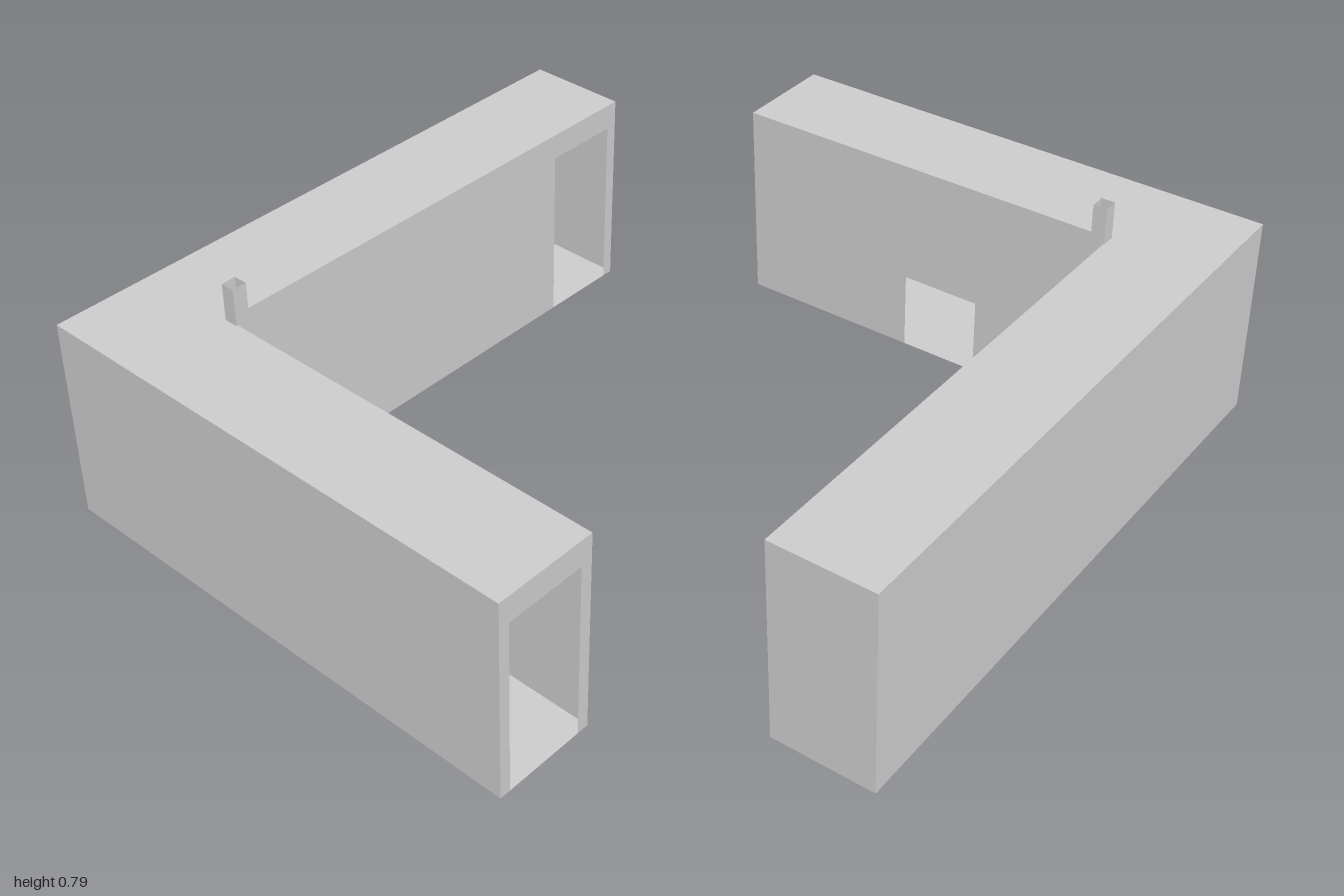
import * as THREE from 'three';

const HEIGHT = 0.665, DOOR_HEIGHT = 0.58;

// L-shaped footprint as [x, z], running so that every wall faces outward
const FOOTPRINT = [
  [-0.827, 1], [0.827, 1], [0.827, 0.667],
  [-0.497, 0.667], [-0.497, -1], [-0.827, -1],
];
const NAMES = ['frontWall', 'leftEndWall', 'courtFrontWall', 'courtSideWall', 'backEndWall', 'rightWall'];

// Door start and end, measured along the wall of the same index
const DOORS = { 1: [0.035, 0.295], 2: [0.61, 0.875], 3: [1.37, 1.63] };

export function createModel() {
  const model = new THREE.Group();
  const material = new THREE.MeshStandardMaterial({
    color: 0xcccccc, side: THREE.DoubleSide, flatShading: true,
  });

  // Thin upright panel from a to b, with an optional doorway down to the ground
  function addWall(parent, name, a, b, height, door) {
    const dx = b[0] - a[0], dz = b[1] - a[1];
    const length = Math.hypot(dx, dz);
    const points = [[0, 0]];
    if (door) {
      points.push([door[0], 0], [door[0], DOOR_HEIGHT], [door[1], DOOR_HEIGHT], [door[1], 0]);
    }
    points.push([length, 0], [length, height], [0, height]);
    const shape = new THREE.Shape(points.map(p => new THREE.Vector2(...p)));
    const wall = new THREE.Mesh(new THREE.ShapeGeometry(shape), material);
    wall.name = name;
    wall.position.set(a[0], 0, a[1]);
    wall.rotation.y = Math.atan2(-dz, dx);
    parent.add(wall);
  }

  // Outer walls
  FOOTPRINT.forEach((a, i) => {
    addWall(model, NAMES[i], a, FOOTPRINT[(i + 1) % FOOTPRINT.length], HEIGHT, DOORS[i]);
  });

  // Floor faces down, roof faces up
  const plan = new THREE.Shape(FOOTPRINT.map(([x, z]) => new THREE.Vector2(x, -z)));
  const roof = new THREE.Mesh(new THREE.ShapeGeometry(plan).rotateX(-Math.PI / 2), material);
  roof.name = 'roof';
  roof.position.y = HEIGHT;
  model.add(roof);

  const underside = new THREE.Shape(FOOTPRINT.map(([x, z]) => new THREE.Vector2(x, z)));
  const floor = new THREE.Mesh(new THREE.ShapeGeometry(underside).rotateX(Math.PI / 2), material);
  floor.name = 'floor';
  model.add(floor);

  // Square flue, open at both ends, standing in the inner corner
  const flue = new THREE.Group();
  flue.name = 'flue';
  const corners = [[-0.5, 0.672], [-0.455, 0.672], [-0.455, 0.625], [-0.5, 0.625]];
  corners.forEach((a, i) => addWall(flue, 'flueSide', a, corners[(i + 1) % 4], 0.785));
  model.add(flue);

  return model;
}
